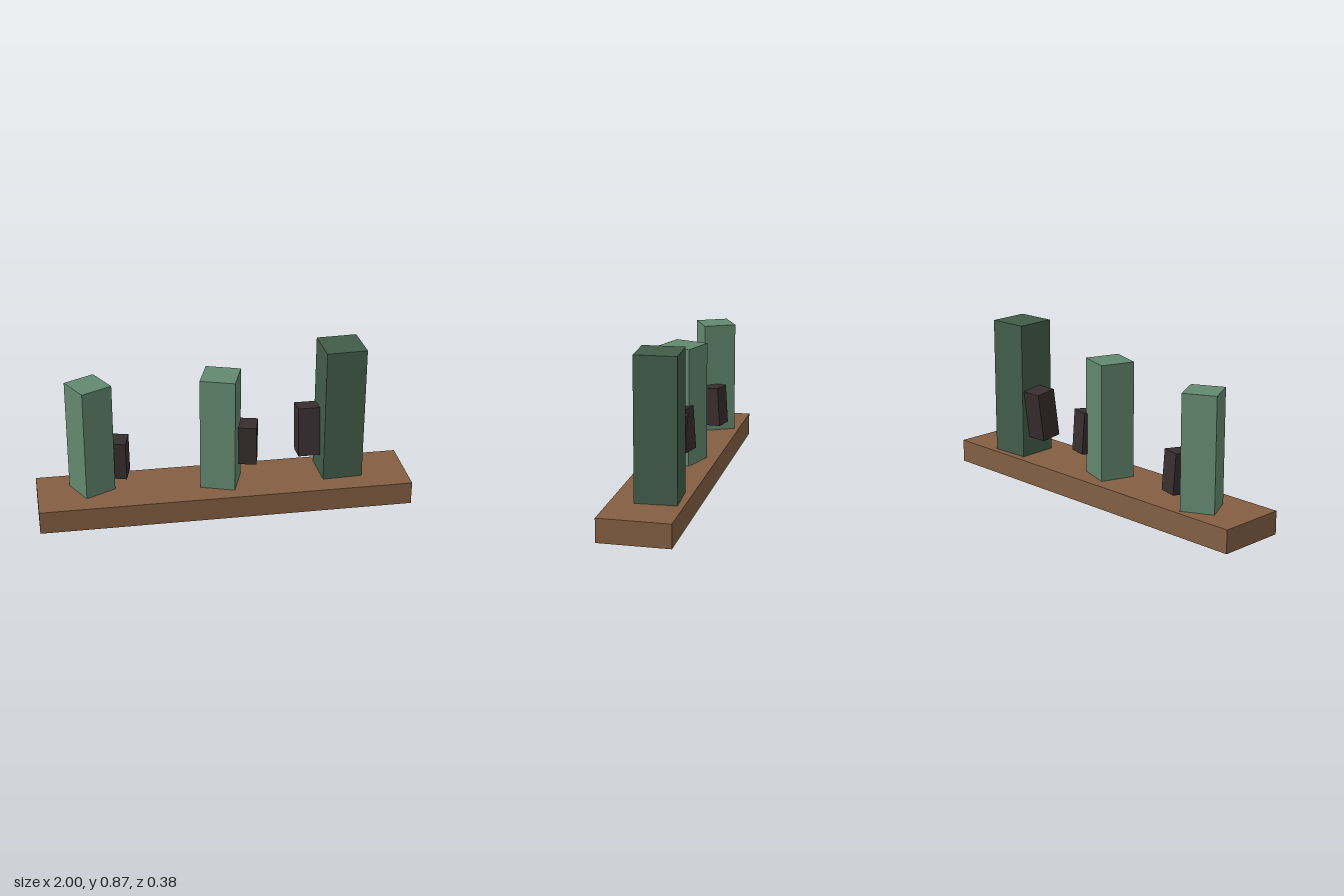
import * as THREE from 'three';

const material = (name, color, side = THREE.FrontSide) => {
  const m = new THREE.MeshStandardMaterial({ color, side });
  m.name = name;
  return m;
};

// Box without its underside, standing on y = 0
function openBox(w, h, d) {
  const g = new THREE.BoxGeometry(w, h, d).translate(0, h / 2, 0);
  const index = Array.from(g.index.array);
  index.splice(18, 6); // the downward face
  g.setIndex(index);
  return g;
}

export function createModel() {
  const brown = material('brown', 0x835e42, THREE.DoubleSide);
  const green = material('green', 0x63886f);
  const darkGreen = material('darkGreen', 0x425d49);
  const charcoal = material('charcoal', 0x372d2f);

  const model = new THREE.Group();
  model.name = 'threePillarsOnPlank';
  const rad = THREE.MathUtils.degToRad;
  const baseTop = 0.125;

  const add = (name, geometry, mat, position, yaw = 0, lean = 0) => {
    const mesh = new THREE.Mesh(geometry, mat);
    mesh.name = name;
    mesh.position.set(...position);
    mesh.rotation.set(rad(lean), rad(yaw), 0, 'YXZ');
    model.add(mesh);
  };

  // Hollow plank, open underneath
  add('base', openBox(2, baseTop, 0.375), brown, [0, 0, 0]);

  // Square pillars, each turned about its own axis
  const pillars = [
    ['rightPillar', green, -0.705, -0.041, 0.178, 0.735, 27.3],
    ['middlePillar', green, -0.015, -0.006, 0.188, 0.755, -18.5],
    ['leftPillar', darkGreen, 0.638, -0.041, 0.217, 0.868, 2.5],
  ];
  for (const [name, mat, x, z, size, top, yaw] of pillars) {
    add(name, openBox(size, top - baseTop, size), mat, [x, baseTop, z], yaw);
  }

  // Small leaning blocks attached to the pillar sides
  const blocks = [
    ['rightBlock', [-0.561, 0.288, -0.064], [0.107, 0.217, 0.107], -15, 4],
    ['middleBlock', [0.134, 0.338, -0.031], [0.107, 0.227, 0.107], -14, 4],
    ['leftBlock', [0.467, 0.373, -0.058], [0.118, 0.27, 0.116], 0, -8],
  ];
  for (const [name, position, size, yaw, lean] of blocks) {
    add(name, new THREE.BoxGeometry(...size), charcoal, position, yaw, lean);
  }
  return model;
}
